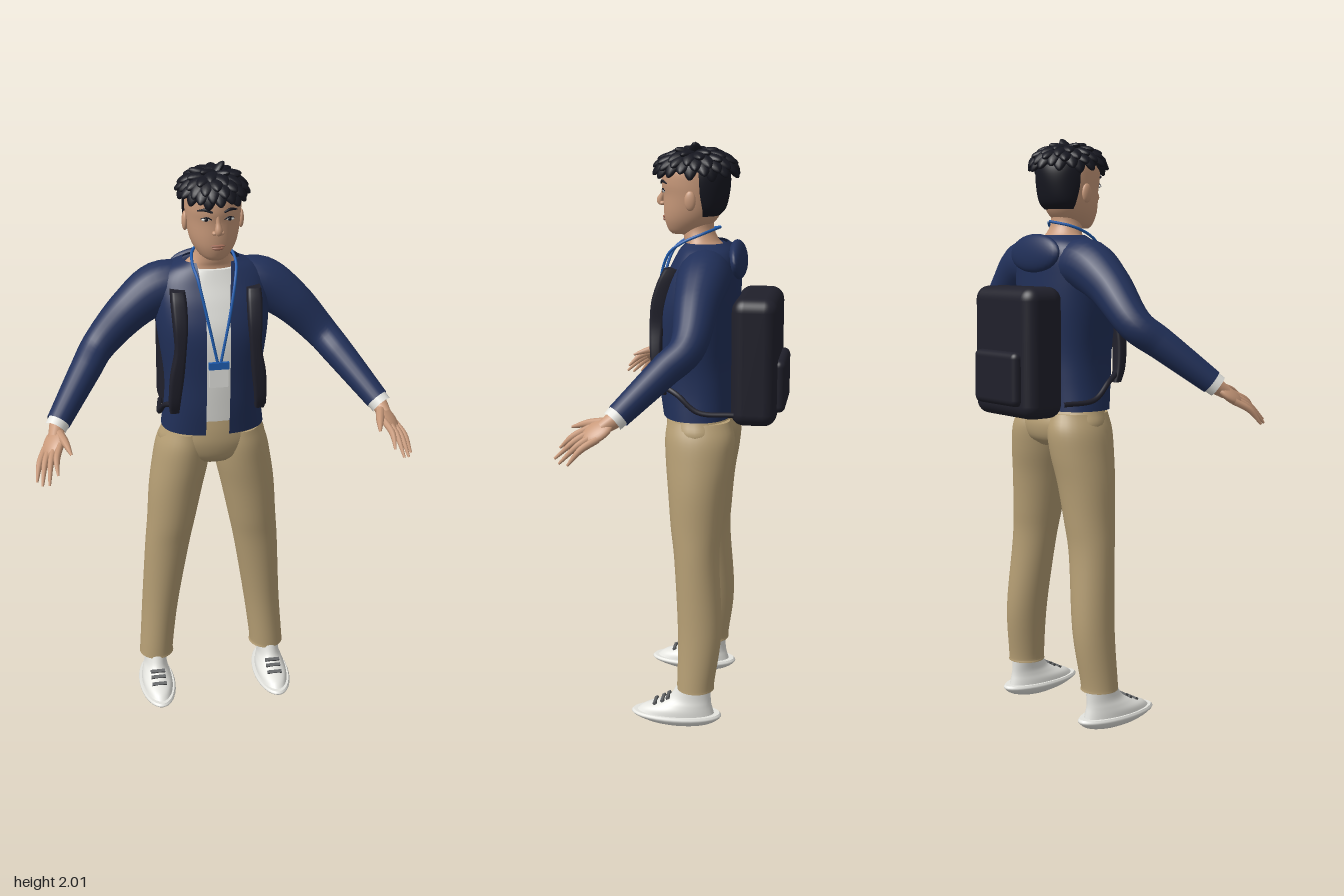
import * as THREE from 'three';
import { RoundedBoxGeometry } from 'three/addons/geometries/RoundedBoxGeometry.js';

const V = (x, y, z) => new THREE.Vector3(x, y, z);

// Skin through stacked rings [y, centreX, radiusX, frontZ, backZ], rising in y.
// p < 1 makes the section boxier; gap(y) leaves a slit of that half width at the front.
function loft(rings, { p = 1, seg = 32, steps = 5, gap = null, from = 0, to = Math.PI * 2 } = {}) {
  const curve = new THREE.CubicInterpolant(new Float32Array(rings.map((_, i) => i)), new Float32Array(rings.flat()), 5);
  const rows = (rings.length - 1) * steps, cols = seg + 1;
  const closed = !gap && to - from > 6.28;
  const pos = [], index = [];
  const pw = v => Math.sign(v) * Math.abs(v) ** p;
  for (let i = 0; i <= rows; i++) {
    const [y, cx, rx, zf, zb] = curve.evaluate(i / steps);
    const cut = gap ? Math.asin((gap(y) / rx) ** (1 / p)) : 0;
    for (let j = 0; j < cols; j++) {
      const a = from + cut + (to - from - 2 * cut) * j / seg;
      pos.push(cx + rx * pw(Math.sin(a)), y, (zf + zb) / 2 + (zf - zb) / 2 * pw(Math.cos(a)));
    }
  }
  for (let i = 0; i < rows; i++) for (let j = 0; j < seg; j++) {
    const k = closed ? (j + 1) % seg : j + 1;
    const a = i * cols + j, b = i * cols + k;
    index.push(a, b, b + cols, a, b + cols, a + cols);
  }
  if (closed) for (const [row, flip] of [[0, true], [rows, false]]) {
    const start = pos.length / 3;
    for (let j = 0; j < seg; j++) pos.push(...pos.slice((row * cols + j) * 3, (row * cols + j) * 3 + 3));
    for (let j = 1; j < seg - 1; j++) index.push(start, start + (flip ? j + 1 : j), start + (flip ? j : j + 1));
  }
  const g = new THREE.BufferGeometry();
  g.setAttribute('position', new THREE.Float32BufferAttribute(pos, 3));
  g.setIndex(index);
  g.computeVertexNormals();
  return g;
}

// Tube whose radius changes along a smooth path
function limb(points, radii, seg = 16, rows = points.length * 6) {
  const curve = new THREE.CatmullRomCurve3(points);
  const size = new THREE.CatmullRomCurve3(radii.map((r, i) => V(i, r, 0)));
  const g = new THREE.TubeGeometry(curve, rows, 1, seg);
  const at = g.attributes.position, v = V(0, 0, 0);
  for (let i = 0; i <= rows; i++) {
    const c = curve.getPointAt(i / rows), r = size.getPoint(curve.getUtoTmapping(i / rows)).y;
    for (let j = 0; j <= seg; j++) {
      const k = i * (seg + 1) + j;
      v.fromBufferAttribute(at, k).sub(c).multiplyScalar(r).add(c);
      at.setXYZ(k, v.x, v.y, v.z);
    }
  }
  return g;
}

const blob = (x, y, z, rx, ry, rz, w = 20, h = 14) => new THREE.SphereGeometry(1, w, h).scale(rx, ry, rz).translate(x, y, z);
const box = (x, y, z, w, h, d) => new THREE.BoxGeometry(w, h, d).translate(x, y, z);

function mirrored(geo) {
  const g = geo.clone().applyMatrix4(new THREE.Matrix4().makeScale(-1, 1, 1));
  if (!g.index) g.setIndex([...Array(g.attributes.position.count).keys()]);
  const a = g.index.array;
  for (let i = 0; i < a.length; i += 3) [a[i], a[i + 1]] = [a[i + 1], a[i]];
  return g;
}

export function createModel() {
  const model = new THREE.Group();
  model.name = 'student';
  const colour = (name, color, open = false) => {
    const m = new THREE.MeshStandardMaterial({ color });
    m.name = name;
    if (open) m.side = THREE.DoubleSide;
    return m;
  };
  const skin = colour('skin', 0xc8997a), lip = colour('lips', 0xa06b57), hair = colour('hair', 0x161720, true);
  const navy = colour('jacket navy', 0x213059, true), white = colour('white', 0xe4e4df), khaki = colour('khaki', 0xb59e74);
  const black = colour('pack black', 0x20202b), blue = colour('lanyard blue', 0x1f5db0), grey = colour('lace grey', 0x5c5e60);
  const part = (name, geo, mat) => {
    const m = new THREE.Mesh(geo, mat);
    m.name = name;
    model.add(m);
  };
  const pair = (name, geo, mat) => {
    part(name + 'Left', geo, mat);
    part(name + 'Right', mirrored(geo), mat);
  };

  // Head and neck
  part('head', loft([
    [1.712, 0, .032, .052, -.03], [1.725, 0, .05, .064, -.06], [1.755, 0, .07, .075, -.095], [1.79, 0, .082, .079, -.115],
    [1.84, 0, .089, .08, -.128], [1.88, 0, .092, .086, -.132], [1.92, 0, .09, .082, -.128], [1.95, 0, .076, .06, -.11], [1.972, 0, .045, .025, -.08]]), skin);
  part('neck', loft([[1.62, 0, .105, .015, -.14], [1.67, 0, .09, .005, -.125], [1.695, 0, .068, .01, -.105],
    [1.73, 0, .054, .015, -.09], [1.78, 0, .054, .015, -.09]]), skin);
  part('nose', limb([V(0, 1.878, .076), V(0, 1.845, .082), V(0, 1.818, .091), V(0, 1.806, .082)], [.006, .008, .013, .004], 12), skin);
  pair('nostril', blob(.012, 1.812, .082, .008, .007, .01), skin);
  pair('ear', blob(.092, 1.828, -.022, .01, .032, .019), skin);
  part('upperLip', blob(0, 1.768, .076, .024, .0045, .007), lip);
  part('lowerLip', blob(0, 1.759, .075, .019, .0055, .007), lip);
  pair('eye', blob(.038, 1.855, .073, .015, .0055, .005), white);
  pair('iris', blob(.038, 1.855, .0765, .006, .0055, .003), hair);
  pair('eyelid', limb([V(.02, 1.855, .078), V(.036, 1.862, .078), V(.054, 1.857, .068)], [.002, .0025, .0015], 6), hair);
  pair('eyebrow', limb([V(.018, 1.879, .085), V(.04, 1.887, .078), V(.064, 1.881, .06)], [.003, .005, .002], 8), hair);

  // Hair: cropped back and sides, a cap, and leaf-shaped locks spiralling from the crown
  part('croppedHair', loft([[1.775, 0, .068, .0, -.11], [1.80, 0, .086, .02, -.13], [1.85, 0, .096, .05, -.142],
    [1.90, 0, .097, .06, -.145], [1.94, 0, .09, .06, -.135]], { from: 1.66, to: Math.PI * 2 - 1.66 }), hair);
  part('hairCap', new THREE.SphereGeometry(1, 28, 12, 0, Math.PI * 2, 0, 1.65).scale(.1, .06, .125).translate(0, 1.925, -.03), hair);
  const lock = new THREE.SphereGeometry(1, 12, 10).rotateX(Math.PI / 2);
  const lp = lock.attributes.position;
  for (let i = 0; i < lp.count; i++) lp.setX(i, lp.getX(i) * (1 - .35 * lp.getZ(i)));
  lock.scale(.025, .013, .037);
  lock.computeVertexNormals();
  const count = 62;
  for (let i = 0; i < count; i++) {
    const polar = 1.62 * Math.sqrt((i + .5) / count), turn = i * 2.39996;
    const out = V(Math.sin(polar) * Math.cos(turn), Math.cos(polar), Math.sin(polar) * Math.sin(turn));
    const along = V(out.x * Math.cos(polar), -Math.sin(polar) * .55, out.z * Math.cos(polar)).addScaledVector(out, .3 + .1 * Math.sin(i * 5));
    along.normalize();
    const side = V(0, 0, 0).crossVectors(out, along).normalize();
    const m = new THREE.Matrix4().makeBasis(side, V(0, 0, 0).crossVectors(along, side), along);
    m.setPosition(out.x * .095, 1.927 + out.y * .058, -.03 + out.z * .122);
    part('hairLock', lock.clone().applyMatrix4(m), hair);
  }

  // Shirt and open jacket
  part('shirt', loft([[1.145, 0, .155, .066, -.15], [1.3, 0, .15, .08, -.15], [1.45, 0, .168, .085, -.16],
    [1.55, 0, .17, .06, -.16], [1.62, 0, .14, .034, -.15], [1.668, 0, .088, .018, -.12]], { p: .85 }), white);
  part('jacket', loft([
    [1.1, 0, .178, .078, -.168], [1.2, 0, .166, .092, -.168], [1.3, 0, .166, .097, -.168], [1.45, 0, .186, .102, -.18],
    [1.55, 0, .192, .078, -.182], [1.62, 0, .185, .045, -.18], [1.662, 0, .15, .024, -.165], [1.688, 0, .095, .008, -.135]],
  { p: .85, seg: 48, gap: y => .04 + Math.max(0, y - 1.55) * .12 }), navy);
  part('hood', new THREE.SphereGeometry(1, 28, 16).scale(.13, .065, .03).rotateX(.12).translate(0, 1.628, -.172), navy);
  pair('sleeve', limb([V(.08, 1.59, -.08), V(.17, 1.586, -.078), V(.265, 1.525, -.07), V(.385, 1.4, -.055), V(.435, 1.343, .005), V(.54, 1.218, .135)],
    [.08, .088, .074, .057, .052, .04], 20), navy);
  pair('shirtCuff', limb([V(.525, 1.235, .118), V(.54, 1.217, .137), V(.552, 1.203, .152)], [.036, .037, .036]), white);

  // Hands, shaped flat along z with the little finger on +x, then turned to hang from the wrist
  const dir = V(.267, -.535, .8).normalize(), across = V(.72, -.35, -.47);
  across.addScaledVector(dir, -across.dot(dir)).normalize();
  const pose = new THREE.Matrix4().makeBasis(across, V(0, 0, 0).crossVectors(dir, across), dir).setPosition(.54, 1.215, .135);
  const hand = (name, geo) => pair(name, geo.applyMatrix4(pose), skin);
  hand('wrist', limb([V(0, 0, -.01), V(0, 0, .03), V(0, 0, .06)], [.03, .026, .022]));
  hand('palm', blob(0, 0, .078, .042, .018, .058));
  [[-.03, .205], [-.01, .236], [.011, .232], [.031, .212]].forEach(([x, end]) =>
    hand('finger', limb([V(x, 0, .09), V(x * 1.15, .006, .15), V(x * 1.4, -.01, end)], [.012, .0105, .004], 8)));
  hand('thumb', limb([V(-.015, 0, .045), V(-.052, 0, .09), V(-.085, -.004, .14)], [.016, .013, .004], 8));

  // Trousers
  part('trouserSeat', loft([[.972, 0, .1, .03, -.13], [1.0, 0, .165, .054, -.165], [1.05, 0, .189, .068, -.176],
    [1.1, 0, .17, .069, -.162], [1.16, 0, .15, .062, -.145]]), khaki);
  pair('trouserLeg', loft([
    [.14, .212, .064, .006, -.126], [.17, .211, .062, .005, -.127], [.35, .193, .067, .005, -.148], [.6, .165, .08, .021, -.135],
    [.72, .148, .087, .036, -.142], [.85, .13, .096, .048, -.155], [.95, .112, .1, .058, -.172], [1.03, .1, .096, .062, -.178],
    [1.09, .09, .08, .055, -.16]]), khaki);

  // Shoes
  pair('sole', loft([[.002, .218, .03, .06, -.08], [.015, .22, .052, .12, -.125], [.036, .22, .067, .167, -.152], [.048, .22, .063, .162, -.147]], { steps: 4 }), white);
  pair('shoe', loft([[.044, .22, .057, .152, -.128], [.065, .22, .054, .125, -.122], [.085, .22, .047, .072, -.117],
    [.11, .218, .041, .028, -.115], [.16, .214, .042, .0, -.115]]), white);
  [[.105, .036], [.093, .055], [.081, .082]].forEach(([y, z]) =>
    pair('lace', new THREE.BoxGeometry(.054, .008, .012).rotateX(.5).translate(.22, y, z), grey));

  // Backpack with pocket and straps
  part('backpack', new RoundedBoxGeometry(.326, .435, .155, 5, .045).translate(0, 1.302, -.243), black);
  part('backpackPocket', new RoundedBoxGeometry(.24, .18, .07, 4, .022).translate(0, 1.218, -.312), black);
  pair('shoulderStrap', loft([[1.19, .146, .016, .078, .05], [1.24, .146, .02, .094, .06], [1.33, .138, .023, .105, .065], [1.42, .126, .019, .108, .06],
    [1.5, .124, .024, .102, .045], [1.57, .125, .026, .08, .02], [1.612, .126, .024, .058, .0]], { p: .5, seg: 24 }), black);
  pair('lowerStrap', limb([V(.146, 1.22, .065), V(.172, 1.195, .01), V(.182, 1.14, -.06), V(.165, 1.13, -.18)], [.01, .009, .009, .009], 8), black);

  // Lanyard and badge
  const cord = [V(.006, 1.38, .106), V(.035, 1.52, .093), V(.062, 1.65, .055), V(.072, 1.69, .005), V(.06, 1.718, -.06), V(0, 1.735, -.112)];
  pair('lanyard', limb(cord, cord.map(() => .0048), 8, 40), blue);
  part('lanyardClip', box(0, 1.365, .102, .068, .024, .012), blue);
  part('badge', box(0, 1.32, .1, .062, .066, .006), white);

  return model;
}
